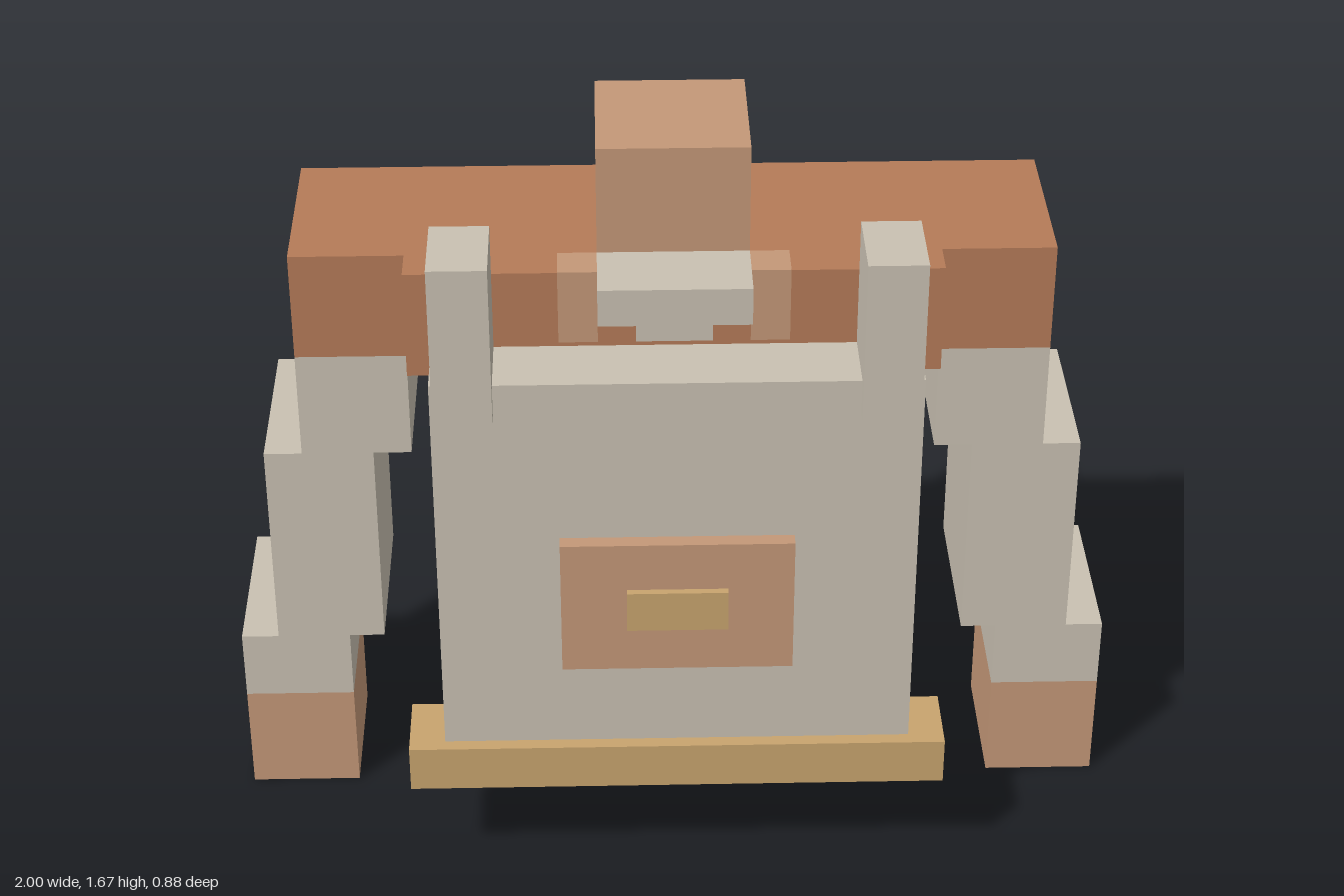
import * as THREE from 'three';

const mat = (name, color) => {
  const m = new THREE.MeshStandardMaterial({ color });
  m.name = name;
  return m;
};

export function createModel() {
  const root = new THREE.Group();
  root.name = 'blockFigure';

  const cloth = mat('brown cloth', 0xb57b58);
  const skin = mat('tan skin', 0xc49878);
  const metal = mat('pale grey', 0xc9c1b2);
  const gold = mat('dull gold', 0xc8a46e);
  const dark = mat('dark brown', 0x4a3830);

  // box given by its lower and upper limits on each axis
  const box = (name, material, [x0, x1], [y0, y1], [z0, z1]) => {
    const mesh = new THREE.Mesh(new THREE.BoxGeometry(x1 - x0, y1 - y0, z1 - z0), material);
    mesh.position.set((x0 + x1) / 2, (y0 + y1) / 2, (z0 + z1) / 2);
    mesh.name = name;
    root.add(mesh);
  };
  const centred = (name, material, halfWidth, y, z) => box(name, material, [-halfWidth, halfWidth], y, z);
  const pair = (name, material, [x0, x1], y, z) => {
    box(name + 'Left', material, [x0, x1], y, z);
    box(name + 'Right', material, [-x1, -x0], y, z);
  };

  // body
  const depth = [-0.355, 0.06];
  centred('head', skin, 0.165, [1.42, 1.67], [-0.27, 0.06]);
  centred('shoulders', cloth, 0.83, [1.17, 1.42], depth);
  centred('chest', cloth, 0.58, [1.17, 1.42], [0.06, 0.145]);
  centred('torso', cloth, 0.5, [0.42, 1.17], [-0.355, 0.145]);
  centred('waist', dark, 0.415, [0.255, 0.42], [-0.355, 0.145]);
  centred('backRidge', cloth, 0.415, [0.755, 0.837], [-0.44, -0.355]);

  // stepped arms
  pair('upperArm', metal, [0.585, 0.83], [0.92, 1.17], depth);
  pair('forearm', metal, [0.67, 0.915], [0.42, 0.92], depth);
  pair('cuff', metal, [0.75, 1], [0.255, 0.42], depth);
  pair('hand', skin, [0.75, 1], [0, 0.255], [-0.27, 0.06]);

  // collar details, slightly proud of the chest
  pair('collarPatch', skin, [0.165, 0.25], [1.25, 1.422], [0.06, 0.147]);
  centred('chinBar', metal, 0.165, [1.335, 1.422], [0.06, 0.228]);
  centred('throatPlate', metal, 0.083, [1.25, 1.335], [0.14, 0.147]);

  // gold spacers between torso and front panel
  for (const [y0, y1] of [[1.085, 1.17], [0.84, 0.92], [0.585, 0.67], [0.255, 0.42]]) {
    centred('spacer', gold, 0.083, [y0, y1], [0.145, 0.23]);
  }

  // front panel
  centred('frontPanel', metal, 0.52, [0.258, 1.29], [0.23, 0.39]);
  pair('panelPost', metal, [0.387, 0.513], [1.21, 1.58], [0.228, 0.42]);
  centred('panelBase', gold, 0.6, [0.25, 0.36], [0.25, 0.42]);
  centred('panelPlate', skin, 0.253, [0.58, 0.905], [0.39, 0.424]);
  centred('plateInset', gold, 0.11, [0.693, 0.79], [0.424, 0.44]);

  return root;
}
